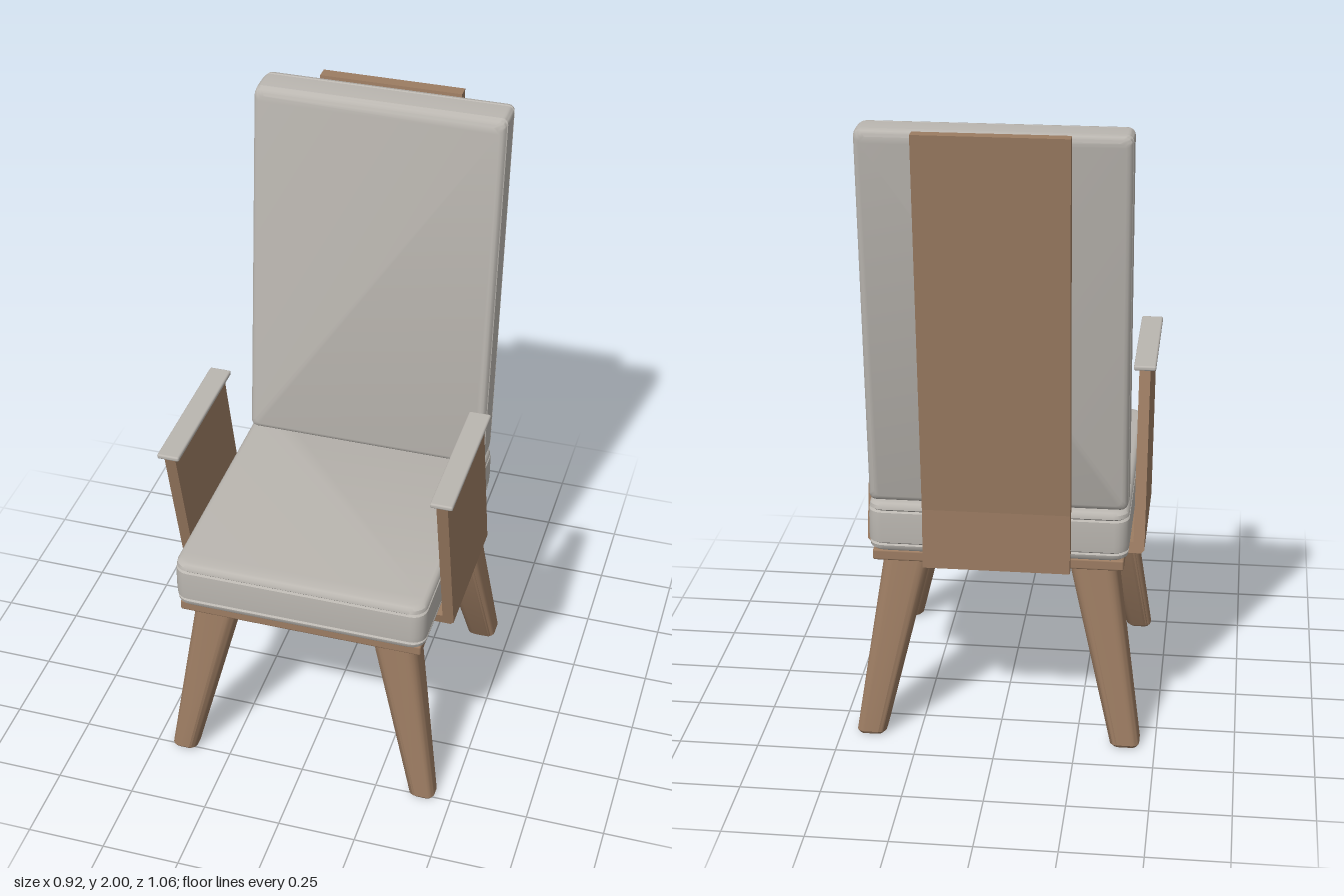
import * as THREE from 'three';
import { toCreasedNormals } from 'three/addons/utils/BufferGeometryUtils.js';
import { RoundedBoxGeometry } from 'three/addons/geometries/RoundedBoxGeometry.js';

// Closed solid through rounded-rectangle rings: [y, xMin, xMax, zMin, zMax, radius]
function loft(rings, seg = 5) {
  const pos = [], idx = [], n = 4 * (seg + 1);
  for (const [y, x0, x1, z0, z1, r] of rings) {
    for (let q = 0; q < 4; q++) {
      const cx = q === 0 || q === 3 ? x1 - r : x0 + r;
      const cz = q < 2 ? z1 - r : z0 + r;
      for (let s = 0; s <= seg; s++) {
        const a = (q + s / seg) * Math.PI / 2;
        pos.push(cx + r * Math.cos(a), y, cz + r * Math.sin(a));
      }
    }
  }
  for (let k = 0; k < rings.length - 1; k++) {
    for (let i = 0; i < n; i++) {
      const a = k * n + i, b = k * n + (i + 1) % n;
      idx.push(a, a + n, b, b, a + n, b + n);
    }
  }
  const last = (rings.length - 1) * n;
  for (let i = 1; i < n - 1; i++) {
    idx.push(0, i, i + 1, last, last + i + 1, last + i);
  }
  const g = new THREE.BufferGeometry();
  g.setAttribute('position', new THREE.Float32BufferAttribute(pos, 3));
  g.setIndex(idx);
  return g;
}

// Slide z in proportion to height
function shear(g, slope, y0) {
  const p = g.attributes.position;
  for (let i = 0; i < p.count; i++) p.setZ(i, p.getZ(i) + slope * (p.getY(i) - y0));
  return g;
}

// Rings of a cushion with rounded rims and two shallow seams
function cushionRings(a, b, x, z0, z1, r, seam) {
  const half = [[0, 0.02], [0.003, 0.011], [0.01, 0.004], [seam - 0.005, 0.002],
    [seam, 0.007], [seam + 0.005, 0.001], [seam + 0.025, 0]];
  const levels = [
    ...half.map(([d, inset]) => [a + d, inset]),
    ...half.slice().reverse().map(([d, inset]) => [b - d, inset]),
  ];
  return levels.map(([y, i]) => [y, -x + i, x - i, z0 + i, z1 - i, r]);
}

function extrude(points, depth) {
  const shape = new THREE.Shape(points.map(([x, y]) => new THREE.Vector2(x, y)));
  return new THREE.ExtrudeGeometry(shape, { depth, bevelEnabled: false });
}

export function createModel() {
  const group = new THREE.Group();
  const wood = new THREE.MeshStandardMaterial({ color: 0x9c7c62 });
  wood.name = 'wood';
  const fabric = new THREE.MeshStandardMaterial({ color: 0xbab6b0 });
  fabric.name = 'fabric';

  const add = (name, geometry, material) => {
    const mesh = new THREE.Mesh(geometry, material);
    mesh.name = name;
    group.add(mesh);
    return mesh;
  };

  // Seat board and cushion
  add('seatBoard', new RoundedBoxGeometry(0.78, 0.035, 0.875, 2, 0.006), wood)
    .position.set(0, 0.622, 0.0725);
  add('seatCushion',
    toCreasedNormals(loft(cushionRings(0.636, 0.8, 0.404, -0.372, 0.528, 0.045, 0.027)), 0.7), fabric);

  // Reclined back cushion, lofted through its depth then stood upright
  const back = loft(cushionRings(0, 0.142, 0.4, 0.802, 2, 0.02, 0.026));
  back.rotateX(-Math.PI / 2).translate(0, 0, -0.22);
  add('backCushion', toCreasedNormals(shear(back, -0.103, 0.8), 0.7), fabric);

  // Bent board behind the back cushion
  const board = extrude([
    [-0.405, 0.605], [-0.368, 0.605], [-0.368, 0.8], [-0.488, 2], [-0.528, 2], [-0.405, 0.8],
  ].reverse(), 0.454);
  board.rotateY(-Math.PI / 2).translate(0.227, 0, 0);
  add('backBoard', board, wood);

  // Slanted U-shaped arm frame passing below the seat
  const frame = extrude([
    [-0.433, 0.57], [0.433, 0.57], [0.443, 0.58], [0.443, 1.143], [0.408, 1.143], [0.408, 0.605],
    [-0.408, 0.605], [-0.408, 1.143], [-0.443, 1.143], [-0.443, 0.58],
  ], 0.455);
  frame.translate(0, 0, -0.155);
  add('armFrame', toCreasedNormals(shear(frame, 0.246, 0.57), 0.3), wood);

  for (const side of [1, -1]) {
    const label = side > 0 ? 'left' : 'right';

    // Thin armrest pad
    add(label + 'ArmPad', new RoundedBoxGeometry(0.07, 0.016, 0.49, 2, 0.006), fabric)
      .position.set(side * 0.426, 1.148, 0.21);

    // Splayed tapered legs: ring bounds at foot and top
    const legs = {
      FrontLeg: [[0.365, 0.447, 0.448, 0.52], [0.215, 0.357, 0.345, 0.475]],
      BackLeg: [[0.36, 0.452, -0.394, -0.3], [0.215, 0.362, -0.328, -0.165]],
    };
    for (const [name, [foot, top]] of Object.entries(legs)) {
      const ring = (y, inset, r) => {
        const [x0, x1, z0, z1] = foot.map((v, i) => v + (top[i] - v) * y / 0.61);
        const [a, b] = side > 0 ? [x0, x1] : [-x1, -x0];
        return [y, a + inset, b - inset, z0 + inset, z1 - inset, r];
      };
      const leg = loft([ring(0, 0.008, 0.018), ring(0.01, 0, 0.024), ring(0.61, 0, 0.035)]);
      add(label + name, toCreasedNormals(leg, 0.7), wood);
    }
  }
  return group;
}
